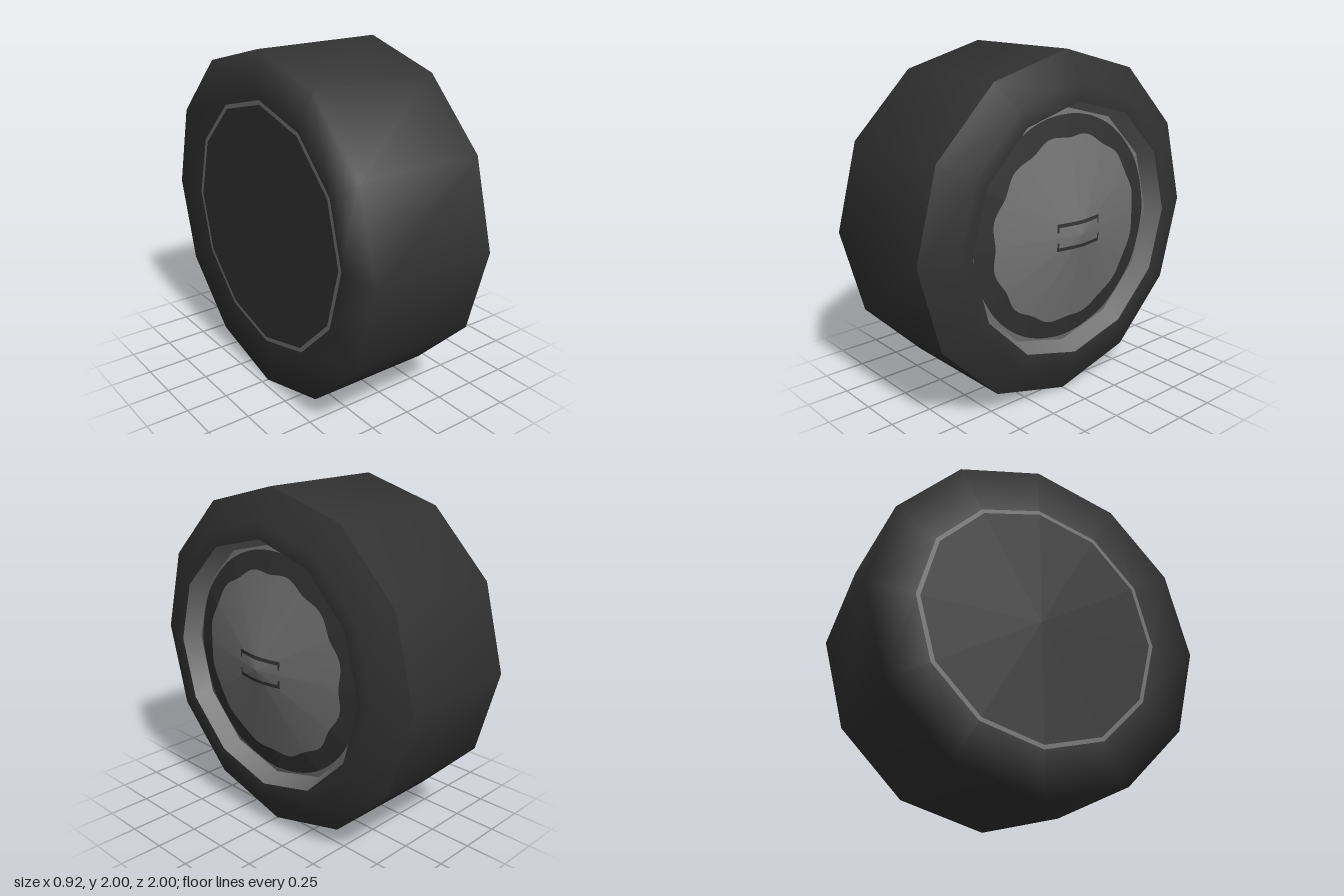
import * as THREE from 'three';
import { ParametricGeometry } from 'three/addons/geometries/ParametricGeometry.js';

const SIDES = 12;
const APEX = 0.455, SLOPE = 0.225; // hub cap cone

const rubber = new THREE.MeshStandardMaterial({ name: 'black rubber', color: 0x323232 });
const metal = new THREE.MeshStandardMaterial({ name: 'grey metal', color: 0x737373 });

// Twelve-sided lathe around the x axis; profile is [radius, x] from back to front
function turned(name, profile, material) {
  const points = profile.map(([r, x]) => new THREE.Vector2(r, x));
  const geometry = new THREE.LatheGeometry(points, SIDES);
  geometry.rotateZ(-Math.PI / 2);
  const mesh = new THREE.Mesh(geometry, material);
  mesh.name = name;
  return mesh;
}

// Depth of the faceted hub cap at a given offset from its centre
function capX(y, z) {
  const step = (2 * Math.PI) / SIDES;
  const a = Math.atan2(z, y);
  const mid = (Math.floor(a / step + 1e-6) + 0.5) * step;
  return APEX - (SLOPE * Math.hypot(y, z) * Math.cos(a - mid)) / Math.cos(step / 2);
}

// Thin painted patch lying on the hub cap; place(u, v) returns [y, z]
function painted(name, place, nu, nv) {
  const geometry = new ParametricGeometry((u, v, target) => {
    const [y, z] = place(u, v);
    target.set(capX(y, z) + 0.005, y, z);
  }, nu, nv);
  const mesh = new THREE.Mesh(geometry, rubber);
  mesh.name = name;
  return mesh;
}

export function createModel() {
  const wheel = new THREE.Group();
  wheel.name = 'wheel';
  wheel.position.y = 1;

  // Tyre: tread runs softly into the back wall, front wall has a crisp edge
  wheel.add(turned('tyreTread', [[0.73, -0.46], [1, -0.46], [1, 0.31]], rubber));
  wheel.add(turned('tyreFrontWall', [[1, 0.31], [0.82, 0.41], [0.73, 0.41]], rubber));

  // Rim and conical hub cap
  wheel.add(turned('rimLip', [[0.73, 0.41], [0.69, 0.3]], metal));
  wheel.add(turned('hubCap', [[0.69, 0.3], [0, APEX]], metal));

  // Back of the wheel
  wheel.add(turned('backRim', [[0.705, -0.46], [0.73, -0.46]], metal));
  wheel.add(turned('backDisc', [[0, -0.46], [0.705, -0.46]], rubber));

  // Dark band with a scalloped inner edge
  wheel.add(painted('capBand', (u, v) => {
    const a = v * 2 * Math.PI;
    const inner = 0.537 - 0.01 * Math.cos(a * SIDES);
    const r = THREE.MathUtils.lerp(inner, 0.652, u);
    return [r * Math.cos(a), r * Math.sin(a)];
  }, 3, 144));

  // Central slot outline: two bars with short turned-in ends
  const rect = (name, y0, y1, z0, z1) => wheel.add(painted(name, (u, v) => [
    THREE.MathUtils.lerp(y0, y1, u), THREE.MathUtils.lerp(z0, z1, v),
  ], 2, 24));
  for (const s of [1, -1]) {
    const span = (a, b) => (s > 0 ? [a, b] : [-b, -a]);
    rect('slotBar', ...span(0.058, 0.078), -0.16, 0.16);
    for (const t of [1, -1]) {
      const [z0, z1] = t > 0 ? [0.148, 0.16] : [-0.16, -0.148];
      rect('slotBarEnd', ...span(0.03, 0.058), z0, z1);
    }
  }

  const model = new THREE.Group();
  model.name = 'wheelModel';
  model.add(wheel);
  return model;
}
